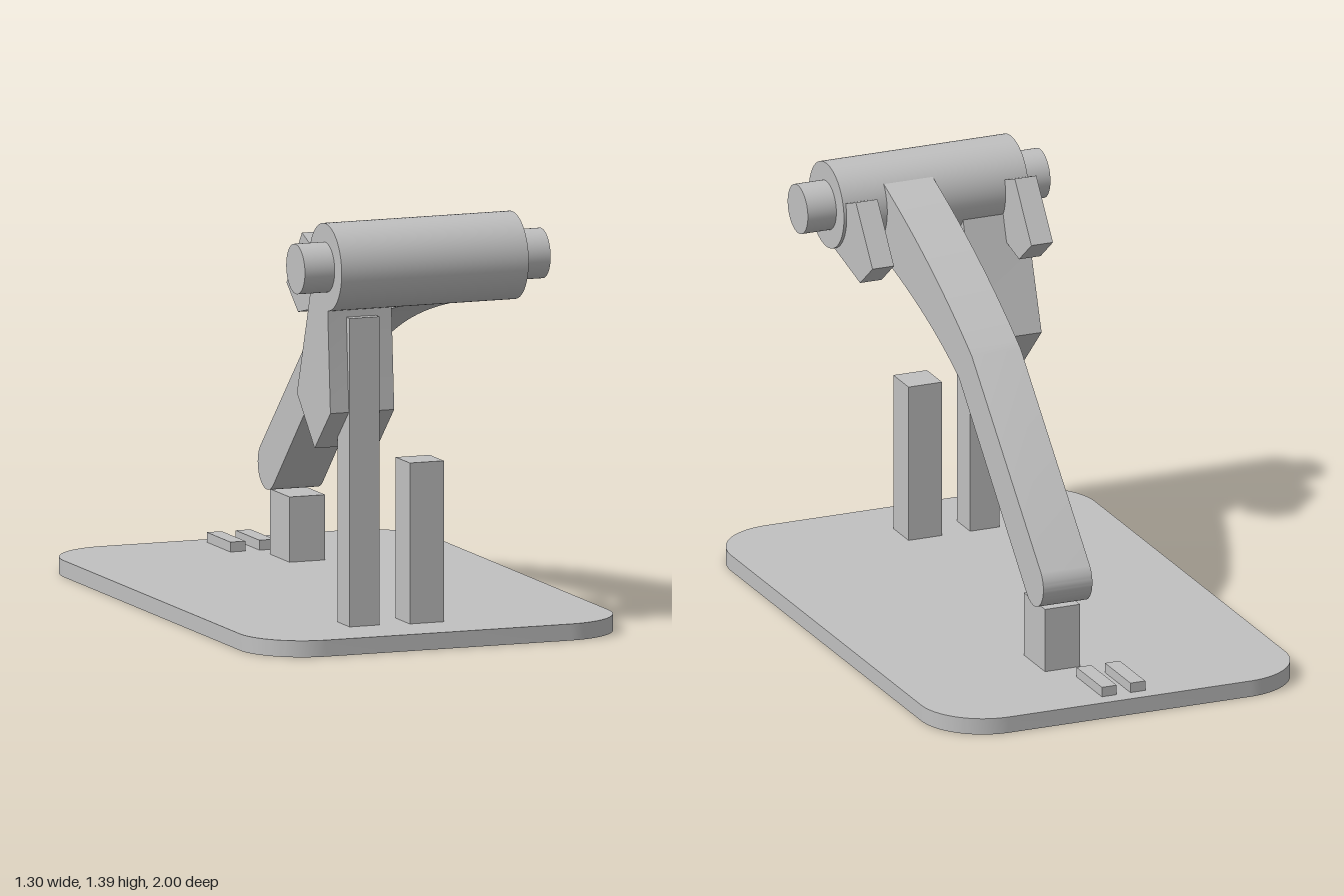
import * as THREE from 'three';
import { toCreasedNormals } from 'three/addons/utils/BufferGeometryUtils.js';

export function createModel() {
  const model = new THREE.Group();
  const grey = new THREE.MeshStandardMaterial({ color: 0xc0c0c0 });
  grey.name = 'light grey';

  function add(name, geometry) {
    const mesh = new THREE.Mesh(geometry, grey);
    mesh.name = name;
    model.add(mesh);
    return mesh;
  }

  // Box given by its extents on each axis
  function box(name, x0, x1, y0, y1, z0, z1) {
    add(name, new THREE.BoxGeometry(x1 - x0, y1 - y0, z1 - z0))
      .position.set((x0 + x1) / 2, (y0 + y1) / 2, (z0 + z1) / 2);
  }

  // Side profile drawn in (z, y), extruded from x0 to x1
  function sidePlate(name, shape, x0, x1) {
    const g = new THREE.ExtrudeGeometry(shape, { depth: x1 - x0, bevelEnabled: false, curveSegments: 20 });
    g.rotateY(-Math.PI / 2).translate(x1, 0, 0);
    add(name, toCreasedNormals(g, 0.4));
  }

  const polygon = (points) => new THREE.Shape(points.map(([z, y]) => new THREE.Vector2(z, y)));

  // Cylinder lying along x through the pivot
  function axle(name, radius, x0, x1) {
    const g = new THREE.CylinderGeometry(radius, radius, x1 - x0, 64).rotateZ(Math.PI / 2);
    add(name, g).position.set((x0 + x1) / 2, 1.247, 0.735);
  }

  // Rounded base plate
  const w = 0.65, l = 1, r = 0.22, top = 0.055;
  const outline = new THREE.Shape();
  outline.absarc(w - r, l - r, r, 0, Math.PI / 2);
  outline.absarc(r - w, l - r, r, Math.PI / 2, Math.PI);
  outline.absarc(r - w, r - l, r, Math.PI, Math.PI * 1.5);
  outline.absarc(w - r, r - l, r, Math.PI * 1.5, Math.PI * 2);
  outline.closePath();
  const baseGeometry = new THREE.ExtrudeGeometry(outline, { depth: top, bevelEnabled: false, curveSegments: 16 });
  baseGeometry.rotateX(-Math.PI / 2);
  add('base', toCreasedNormals(baseGeometry, 0.4));

  // Upright posts and small guide strips
  box('tallPost', -0.265, -0.16, top, 1.08, 0.68, 0.787);
  box('shortPost', -0.06, 0.06, top, 0.59, 0.68, 0.805);
  box('rearPost', 0.025, 0.15, top, 0.272, -0.65, -0.475);
  for (const x of [-0.08, 0.022]) box('guideStrip', x, x + 0.053, top, 0.088, -0.945, -0.735);

  // Barrel and pivot pin
  axle('barrel', 0.145, -0.33, 0.33);
  axle('pivotPin', 0.083, -0.435, 0.432);

  // Bent lever arm with a rounded tip
  const arm = new THREE.Shape();
  arm.moveTo(0.76, 1.11);
  arm.lineTo(0.72, 1.33);
  arm.lineTo(0.62, 1.335);
  arm.quadraticCurveTo(0.22, 1.19, -0.105, 0.977);
  arm.lineTo(-0.67, 0.415);
  arm.absarc(-0.613, 0.358, 0.081, Math.PI * 0.75, Math.PI * 1.75);
  arm.lineTo(0, 0.865);
  arm.quadraticCurveTo(0.28, 1.02, 0.76, 1.11);
  sidePlate('leverArm', arm, 0, 0.175);

  // Five-sided block hanging from the barrel
  sidePlate('hangingBlock', polygon([
    [0.757, 1.2], [0.757, 1.09], [0.78, 0.767], [0.64, 0.63], [0.483, 0.79], [0.575, 1.06], [0.62, 1.2],
  ]), -0.33, -0.105);

  // Pair of rear lugs
  for (const x of [-0.325, 0.243]) {
    sidePlate('rearLug', polygon([
      [0.72, 1.25], [0.515, 1.327], [0.378, 1.14], [0.48, 1.058], [0.72, 1.115],
    ]), x, x + 0.077);
  }

  return model;
}
